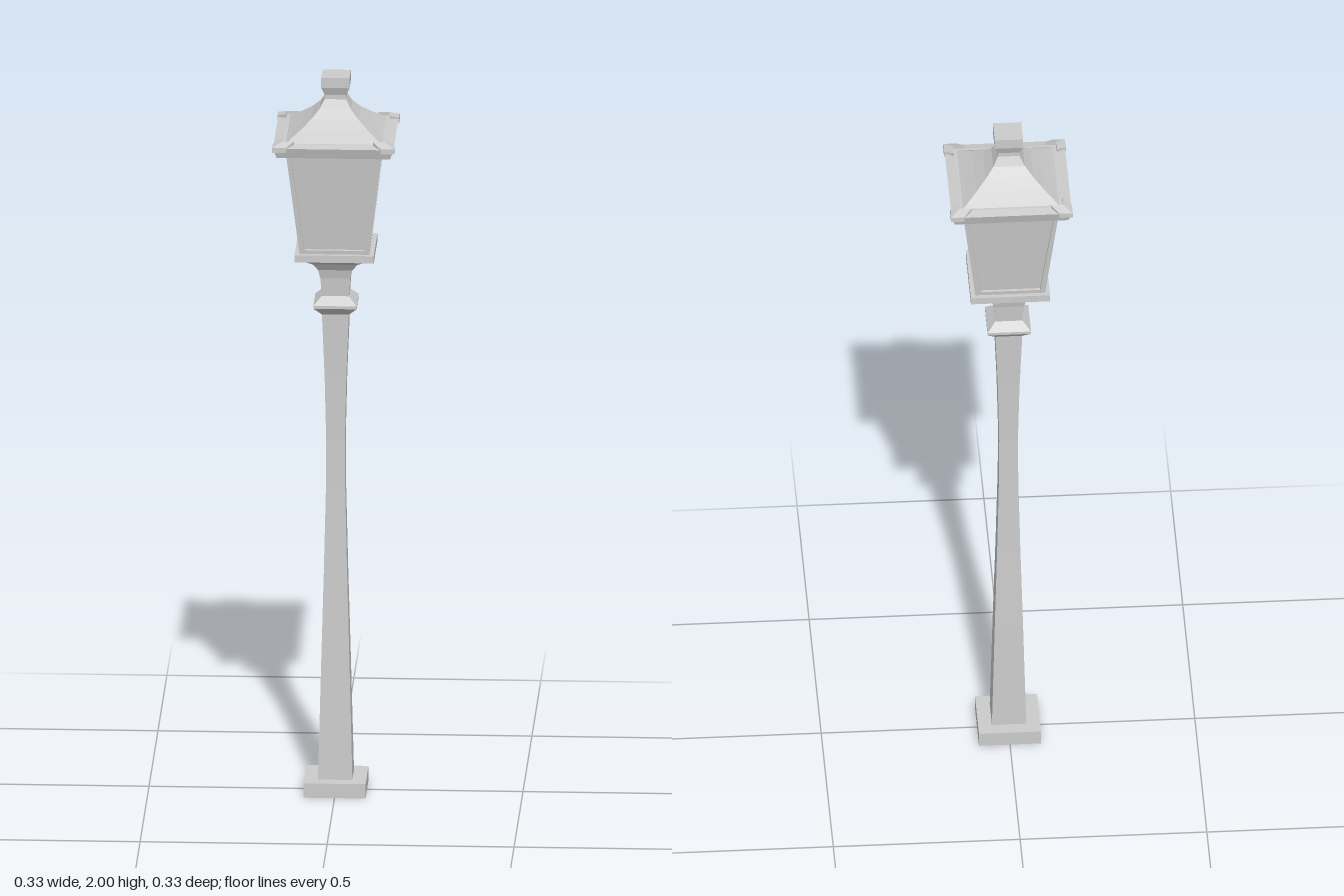
import * as THREE from 'three';

const material = new THREE.MeshStandardMaterial({ color: 0xcccccc, flatShading: true });

function addMesh(parent, name, geometry) {
  const mesh = new THREE.Mesh(geometry, material);
  mesh.name = name;
  parent.add(mesh);
  return mesh;
}

// Closed square-section solid from [half width, height] pairs, bottom to top
function squareLathe(profile) {
  const closed = [[0, profile[0][1]], ...profile, [0, profile.at(-1)[1]]];
  const points = closed.map(([half, y]) => new THREE.Vector2(half * Math.SQRT2, y));
  const geometry = new THREE.LatheGeometry(points, 4, Math.PI / 4).toNonIndexed();
  geometry.computeVertexNormals();
  return geometry;
}

const toVectors = (list) => list.map(([x, y]) => new THREE.Vector2(x, y));

// Tapered window frame with an opening, front face at z = 0
function windowFrame(bottom, top, length, border, depth) {
  const shape = new THREE.Shape(toVectors([[-bottom, 0], [bottom, 0], [top, length], [-top, length]]));
  const b = bottom - border, t = top - border;
  shape.holes.push(new THREE.Path(toVectors([
    [-b, border], [-t, length - border], [t, length - border], [b, border],
  ])));
  const geometry = new THREE.ExtrudeGeometry(shape, { depth, bevelEnabled: false });
  return geometry.translate(0, 0, -depth);
}

// L-shaped roof corner whose top rises towards the inside
function cornerCap() {
  const shape = new THREE.Shape(toVectors([
    [0.163, 0.163], [0.127, 0.163], [0.106, 0.138], [0.137, 0.138], [0.138, 0.106], [0.163, 0.127],
  ]));
  const geometry = new THREE.ExtrudeGeometry(shape, { depth: 0.014, bevelEnabled: false });
  geometry.rotateX(-Math.PI / 2);
  const p = geometry.attributes.position;
  for (let i = 0; i < p.count; i++) {
    const inset = 0.163 - Math.max(Math.abs(p.getX(i)), Math.abs(p.getZ(i)));
    p.setY(i, p.getY(i) + 1.827 + inset * 0.45);
  }
  geometry.computeVertexNormals();
  return geometry;
}

export function createModel() {
  const model = new THREE.Group();
  model.name = 'streetLamp';

  // Post
  addMesh(model, 'base', squareLathe([[0.083, 0], [0.083, 0.04]]));
  addMesh(model, 'pole', squareLathe([
    [0.046, 0.04], [0.038, 0.36], [0.031, 0.62], [0.026, 0.84], [0.025, 0.98], [0.029, 1.16], [0.036, 1.34],
  ]));
  addMesh(model, 'collar', squareLathe([[0.036, 1.338], [0.058, 1.36], [0.058, 1.368], [0.036, 1.39]]));
  addMesh(model, 'neck', squareLathe([
    [0.036, 1.385], [0.04, 1.44], [0.046, 1.465], [0.06, 1.485], [0.085, 1.5], [0.1, 1.506],
  ]));

  // Lantern
  const lantern = new THREE.Group();
  lantern.name = 'lantern';
  model.add(lantern);
  const y0 = 1.522, y1 = 1.815, bottom = 0.093, top = 0.128;
  addMesh(lantern, 'tray', squareLathe([[0.106, 1.504], [0.106, 1.524]]));
  addMesh(lantern, 'glass', squareLathe([[bottom - 0.007, y0], [top - 0.007, y1]]));
  const frame = windowFrame(bottom, top, Math.hypot(y1 - y0, top - bottom), 0.013, 0.011);
  frame.rotateX(Math.atan2(top - bottom, y1 - y0)).translate(0, y0, bottom);

  // Roof with finial
  addMesh(lantern, 'roofBrim', squareLathe([[0.152, 1.81], [0.161, 1.838], [0.135, 1.843]]));
  addMesh(lantern, 'roof', squareLathe([
    [0.136, 1.838], [0.118, 1.85], [0.09, 1.87], [0.063, 1.892], [0.042, 1.914], [0.029, 1.938],
    [0.029, 1.95], [0.038, 1.972], [0.038, 2],
  ]));

  // Four window frames and four roof corners
  const cap = cornerCap();
  for (let i = 0; i < 4; i++) {
    addMesh(lantern, 'windowFrame', frame).rotation.y = i * Math.PI / 2;
    addMesh(lantern, 'roofCorner', cap).rotation.y = i * Math.PI / 2;
  }
  return model;
}
